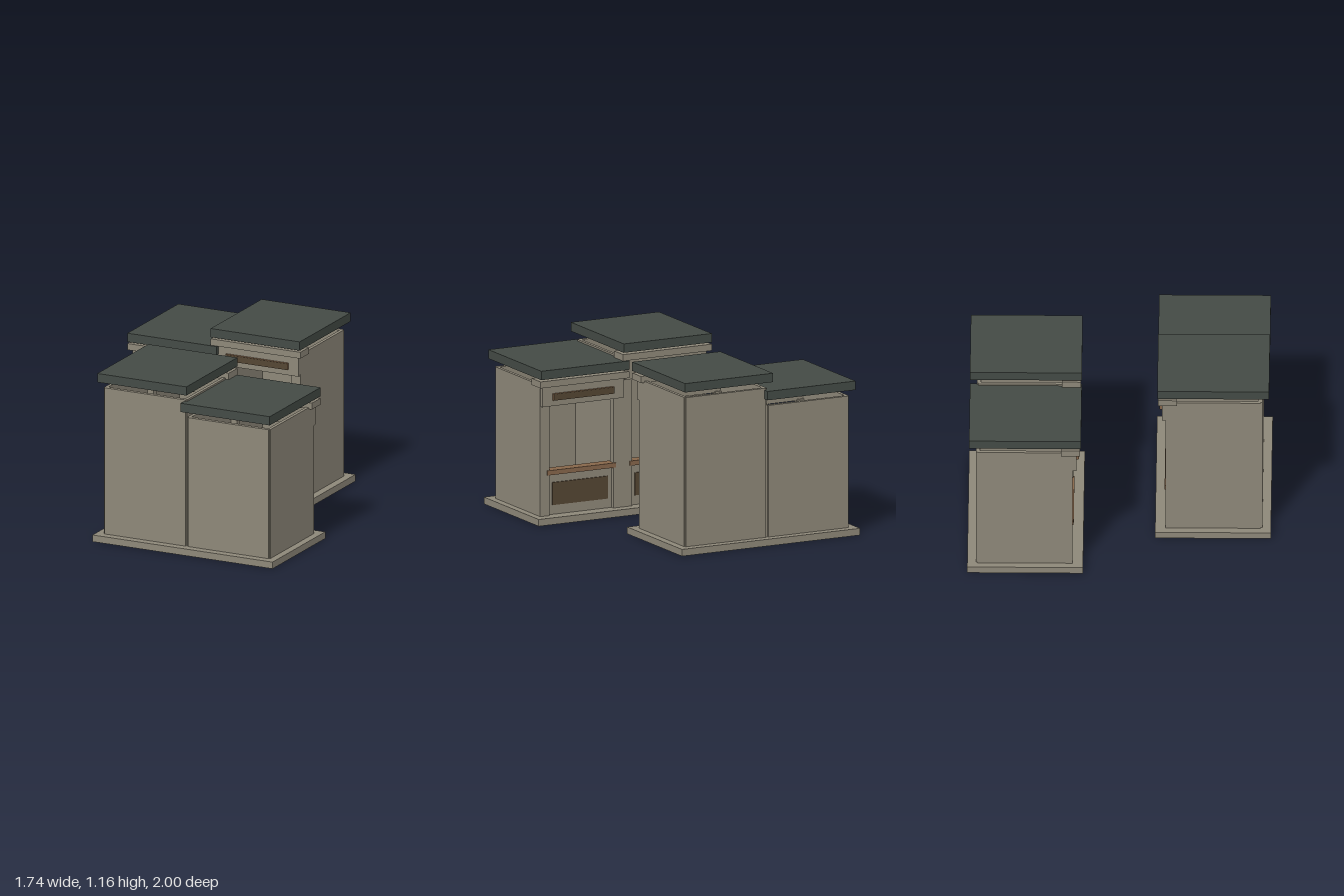
import * as THREE from 'three';

const mat = (name, color) => {
  const m = new THREE.MeshStandardMaterial({ color });
  m.name = name;
  return m;
};

export function createModel() {
  const stone = mat('stone', 0x8d8778);
  const slate = mat('slate', 0x434a45);
  const wood = mat('wood', 0x86664a);
  const dark = mat('darkWood', 0x544532);

  // box given by its low and high limits on each axis
  function box(parent, name, material, x0, x1, y0, y1, z0, z1) {
    const mesh = new THREE.Mesh(new THREE.BoxGeometry(x1 - x0, y1 - y0, z1 - z0), material);
    mesh.position.set((x0 + x1) / 2, (y0 + y1) / 2, (z0 + z1) / 2);
    mesh.name = name;
    parent.add(mesh);
  }

  // open stall facing +z; top is the height of its walls
  function stall(name, x, top) {
    const g = new THREE.Group();
    g.name = name;
    g.position.x = x;
    const floor = 0.045, head = top - 0.145;

    // shell
    box(g, 'backWall', stone, -0.3, 0.3, floor, top, -0.943, -0.915);
    for (const s of [-1, 1]) {
      const span = (a, b) => (s > 0 ? [a, b] : [-b, -a]);
      box(g, 'sideWall', stone, ...span(0.285, 0.308), floor, top, -0.932, -0.306);
      box(g, 'frontPost', stone, ...span(0.24, 0.307), floor, head + 0.01, -0.35, -0.305);
    }

    // counter
    box(g, 'counterWall', stone, -0.25, 0.25, floor, 0.33, -0.37, -0.33);
    box(g, 'counterPanel', dark, -0.208, 0.208, 0.11, 0.263, -0.331, -0.322);
    box(g, 'counterLedge', wood, -0.257, 0.257, 0.32, 0.352, -0.38, -0.298);

    // head of the opening
    box(g, 'lintel', stone, -0.306, 0.306, head, top - 0.012, -0.34, -0.28);
    box(g, 'signBoard', wood, -0.23, 0.23, head + 0.038, head + 0.085, -0.285, -0.268);
    box(g, 'signFace', dark, -0.228, 0.228, head + 0.04, head + 0.083, -0.27, -0.264);
    box(g, 'cornice', stone, -0.332, 0.332, top - 0.01, top + 0.034, -0.38, -0.255);

    // roof slab
    box(g, 'roof', slate, -0.33, 0.33, top + 0.047, top + 0.107, -0.988, -0.25);
    return g;
  }

  function row(name) {
    const g = new THREE.Group();
    g.name = name;
    box(g, 'base', stone, -0.872, 0.463, 0, 0.046, -1, -0.236);
    g.add(stall('lowStall', -0.515, 0.936), stall('highStall', 0.103, 1.055));
    return g;
  }

  // two identical rows face each other across the aisle
  const model = new THREE.Group();
  model.name = 'stalls';
  const back = row('backRow');
  const front = row('frontRow');
  front.rotation.y = Math.PI;
  model.add(back, front);
  return model;
}
